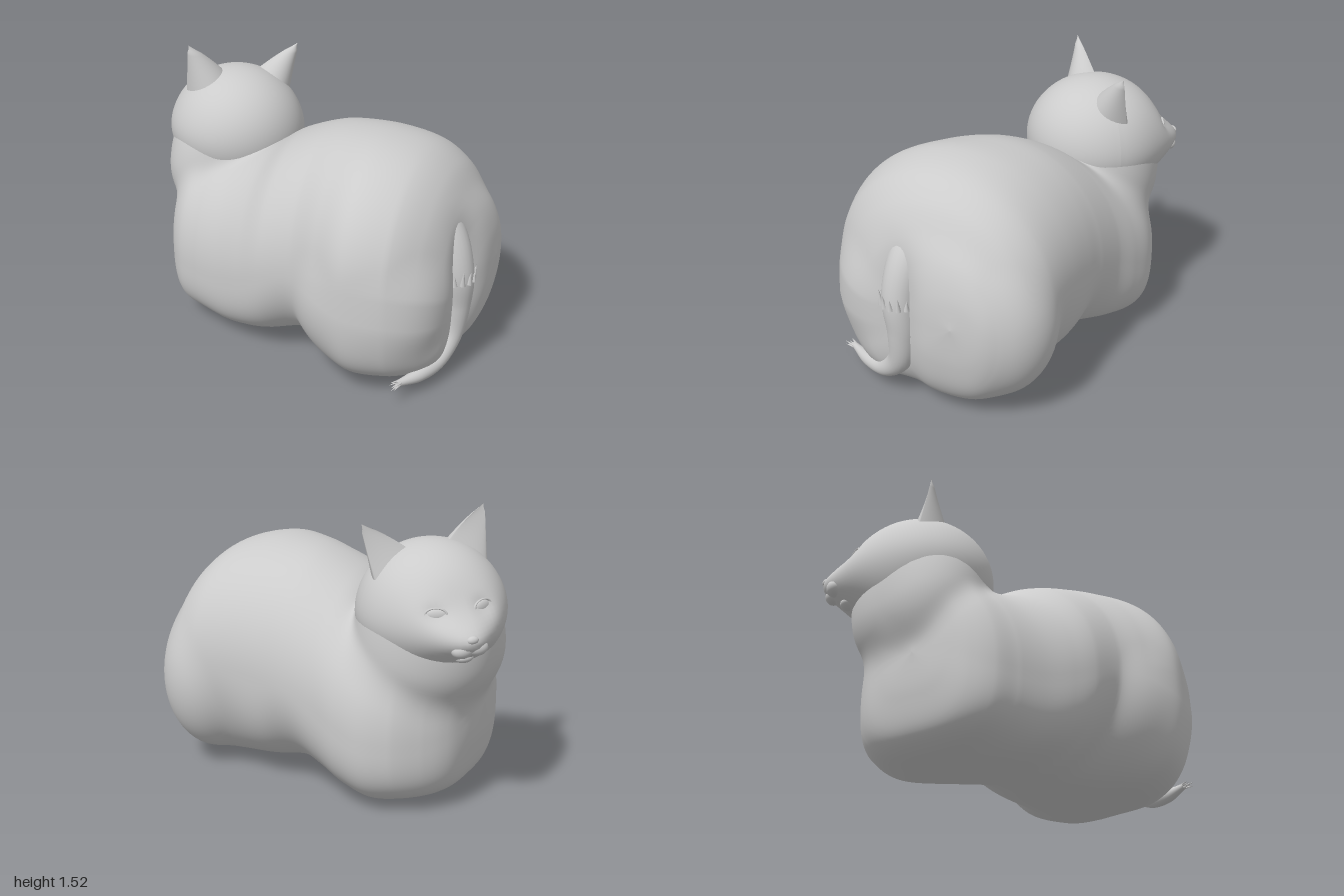
import * as THREE from 'three';

const mat = new THREE.MeshStandardMaterial({ color: 0xcccccc, roughness: 0.8 });
const V = (x, y, z) => new THREE.Vector3(x, y, z);
const bump = (v, width) => Math.exp(-((v / width) ** 2));
const { smoothstep } = THREE.MathUtils;

function add(parent, name, geometry) {
  const mesh = new THREE.Mesh(geometry, mat);
  mesh.name = name;
  parent.add(mesh);
  return mesh;
}

function ellipsoid(parent, name, c, r) {
  const mesh = add(parent, name, new THREE.SphereGeometry(1, 32, 24));
  mesh.position.set(...c);
  mesh.scale.set(...r);
}

// Smooth skin through closed rings; point(u, angle) gives each corner
function loft(rows, cols, point) {
  const pos = [], index = [];
  for (let i = 0; i <= rows; i++) {
    for (let j = 0; j < cols; j++) {
      pos.push(...point(i / rows, (j / cols) * Math.PI * 2).toArray());
      if (i === rows) continue;
      const a = i * cols + j, b = i * cols + ((j + 1) % cols);
      index.push(a, b, a + cols, b, b + cols, a + cols);
    }
  }
  const g = new THREE.BufferGeometry();
  g.setAttribute('position', new THREE.Float32BufferAttribute(pos, 3));
  g.setIndex(index);
  g.computeVertexNormals();
  return g;
}

// Body stations, rump to chest: x, bottom, top, right side, left side, height of widest point
const stations = [
  [0.99, 0.55, 0.55, -0.2, -0.2, 0.5],
  [0.97, 0.33, 0.72, -0.36, 0.02, 0.5],
  [0.93, 0.18, 0.85, -0.43, 0.18, 0.5],
  [0.87, 0.09, 0.96, -0.49, 0.37, 0.5],
  [0.78, 0.04, 1.1, -0.55, 0.52, 0.5],
  [0.65, 0.03, 1.2, -0.59, 0.64, 0.5],
  [0.45, 0.03, 1.25, -0.6, 0.69, 0.5],
  [0.25, 0.05, 1.24, -0.61, 0.61, 0.48],
  [0.1, 0.06, 1.21, -0.62, 0.54, 0.46],
  [-0.1, 0.04, 1.13, -0.64, 0.52, 0.45],
  [-0.25, 0.02, 1.04, -0.68, 0.47, 0.43],
  [-0.4, 0, 1.0, -0.7, 0.41, 0.41],
  [-0.55, 0.02, 0.97, -0.66, 0.36, 0.4],
  [-0.68, 0.05, 0.93, -0.56, 0.31, 0.4],
  [-0.76, 0.11, 0.86, -0.46, 0.23, 0.42],
  [-0.81, 0.28, 0.74, -0.32, 0.1, 0.45],
  [-0.83, 0.5, 0.5, -0.1, -0.1, 0.5],
];

// Rounded masses swelling out of the body: centre, radii, softness of the join
const masses = [
  [V(0.47, 0.5, 0.35), V(0.42, 0.44, 0.34), 0.1], // left haunch
  [V(0.68, 0.5, -0.28), V(0.29, 0.43, 0.335), 0.08], // right haunch
  [V(-0.67, 0.82, -0.1), V(0.24, 0.3, 0.23), 0.3], // ruff below the left cheek
  [V(-0.56, 0.82, -0.27), V(0.37, 0.35, 0.365), 0.25], // neck
  [V(-0.58, 1.025, -0.27), V(0.345, 0.315, 0.35), 0.3], // base of head
];

// Push a point out of a mass, with a soft fillet around it
function swell(p, [c, r, k]) {
  const q = p.clone().sub(c).divide(r);
  const len = q.length();
  const h = Math.max(k - Math.abs(len - 1), 0) / k;
  return q.multiplyScalar((Math.max(len, 1) + (h * h * k) / 4) / len).multiply(r).add(c);
}

function bodyGeometry() {
  const heights = new THREE.CatmullRomCurve3(stations.map((s) => V(s[0], s[1], s[2])));
  const widths = new THREE.CatmullRomCurve3(stations.map((s) => V(s[3], s[4], s[5])));
  return loft(160, 112, (u, a) => {
    const h = heights.getPoint(u), w = widths.getPoint(u);
    const c = Math.cos(a), s = Math.sin(a);
    // Underside: tucked at the belly, full at the left hind leg
    const under = 3.1 - bump(h.x - 0.08, 0.22) + 0.9 * c * smoothstep(h.x, 0.2, 0.5);
    const e = 2 / (s > 0 ? 2.1 : under);
    const mid = h.y + (h.z - h.y) * w.z;
    const y = mid + (s > 0 ? h.z - mid : mid - h.y) * Math.sign(s) * Math.abs(s) ** e;
    const z = (w.x + w.y) / 2 + ((w.y - w.x) / 2) * Math.sign(c) * Math.abs(c) ** e;
    // Cleft between the haunches, where the tail lies
    const cleft = smoothstep(h.x, 0.7, 0.9) * (1 - smoothstep(y, 0.6, 1.0)) * bump(z - 0.14, 0.12);
    return masses.reduce(swell, V(h.x - 0.06 * cleft, y, z));
  });
}

// Skin of the head along direction d, face towards +z
function headPoint(d) {
  const p = V(d.x * 0.37, d.y * 0.345, d.z * 0.38);
  p.x *= 1 + 0.03 * bump(d.y + 0.1, 0.4);
  if (d.z > 0) {
    p.z += 0.04 * bump(Math.abs(d.x) - 0.5, 0.3) * bump(d.y + 0.05, 0.45);
    p.z += 0.14 * bump(d.x, 0.38) * bump(d.y + 0.2, 0.32);
    p.z -= 0.02 * bump(Math.abs(d.x) - 0.32, 0.13) * bump(d.y - 0.2, 0.12);
  }
  return p;
}

function buildHead() {
  const head = new THREE.Group();
  head.name = 'head';
  head.rotation.order = 'YXZ';
  head.rotation.set(0, -2.335, 0.1);
  head.position.set(-0.583, 1.025, -0.262);

  const skull = new THREE.SphereGeometry(1, 80, 60);
  const p = skull.attributes.position;
  for (let i = 0; i < p.count; i++) {
    const q = headPoint(V(0, 0, 0).fromBufferAttribute(p, i));
    p.setXYZ(i, q.x, q.y, q.z);
  }
  skull.computeVertexNormals();
  add(head, 'skull', skull);

  // A rounded detail sunk into the face
  const onFace = (name, x, y, inset, r) => {
    const q = headPoint(V(x, y, Math.sqrt(1 - x * x - y * y)));
    ellipsoid(head, name, [q.x, q.y, q.z - inset], r);
  };
  onFace('nose', 0, -0.12, 0.01, [0.03, 0.02, 0.02]);
  onFace('chin', 0, -0.46, 0.028, [0.05, 0.028, 0.04]);

  for (const s of [-1, 1]) {
    const side = s > 0 ? 'left' : 'right';
    onFace(side + 'WhiskerPad', s * 0.1, -0.28, 0.033, [0.055, 0.04, 0.042]);

    // Almond eye with a thin lid
    const eye = new THREE.Group();
    eye.name = side + 'Eye';
    eye.position.copy(headPoint(V(s * 0.32, 0.2, 0.926).normalize()));
    eye.rotation.set(-0.15, s * 0.35, s * 0.12);
    ellipsoid(eye, 'eyeball', [0, 0, -0.004], [0.05, 0.028, 0.014]);
    add(eye, 'eyelid', new THREE.TorusGeometry(0.052, 0.007, 8, 32)).scale.y = 0.6;
    head.add(eye);

    // Cupped ear, flaring into the crown and open to the front
    add(head, side + 'Ear', loft(24, 36, (t, a) => {
      const inner = -0.02 + 0.335 * t ** 1.6;
      const outer = 0.295 + 0.035 * t;
      const w = ((outer - inner) / 2) * Math.min(1, Math.sqrt((1 - t) * 8));
      const depth = Math.sin(a) > 0 ? -0.7 - 0.5 * (1 - t) : -0.1 + 0.4 * (1 - t);
      const z = 0.06 - 0.06 * t + depth * w * Math.abs(Math.sin(a));
      return V(s * (inner + outer) / 2 + w * Math.cos(a), 0.14 + 0.33 * t, z);
    }));
  }
  return head;
}

function buildTail() {
  const tail = new THREE.Group();
  tail.name = 'tail';
  const curve = new THREE.CatmullRomCurve3([
    V(0.6, 1.0, 0.12), V(0.79, 0.82, 0.13), V(0.87, 0.6, 0.15), V(0.875, 0.4, 0.14),
    V(0.86, 0.22, 0.17), V(0.83, 0.12, 0.28), V(0.78, 0.1, 0.42), V(0.71, 0.11, 0.56),
  ]);
  const radii = new THREE.SplineCurve(
    [0.08, 0.1, 0.095, 0.08, 0.065, 0.05, 0.038, 0.016].map((r, i) => new THREE.Vector2(i, r)));
  const rows = 64, cols = 24;
  const frames = curve.computeFrenetFrames(rows, false);
  add(tail, 'tailBody', loft(rows, cols, (u, a) => {
    const i = Math.round(u * rows), r = radii.getPoint(curve.getUtoTmapping(u)).y;
    return curve.getPointAt(u)
      .addScaledVector(frames.normals[i], r * Math.cos(a))
      .addScaledVector(frames.binormals[i], r * Math.sin(a));
  }));

  // Thin locks of fur: a ragged cuff halfway down and a tuft at the tip
  const lock = (name, from, dir, length, radius) => {
    const m = add(tail, name, new THREE.ConeGeometry(radius, length, 8));
    dir.normalize();
    m.quaternion.setFromUnitVectors(V(0, 1, 0), dir);
    m.position.copy(from).addScaledVector(dir, length / 2);
  };
  for (let i = 0; i < 14; i++) {
    const a = (i / 14) * Math.PI * 2;
    const out = V(Math.cos(a), 0, Math.sin(a));
    lock('cuffFur', V(0.872, 0.56, 0.15).addScaledVector(out, 0.093),
      V(out.x * 0.15, 1, out.z * 0.15), 0.06 + 0.015 * (i % 3), 0.016);
  }
  for (let i = 0; i < 9; i++) {
    const a = i * 2.4;
    lock('tipFur', V(0.735, 0.108, 0.5),
      V(-0.4 + 0.25 * Math.cos(a), 0.05 + 0.22 * Math.sin(a), 1), 0.09 + 0.012 * (i % 3), 0.014);
  }
  return tail;
}

export function createModel() {
  const cat = new THREE.Group();
  cat.name = 'lyingCat';
  add(cat, 'body', bodyGeometry());
  cat.add(buildHead(), buildTail());
  return cat;
}
